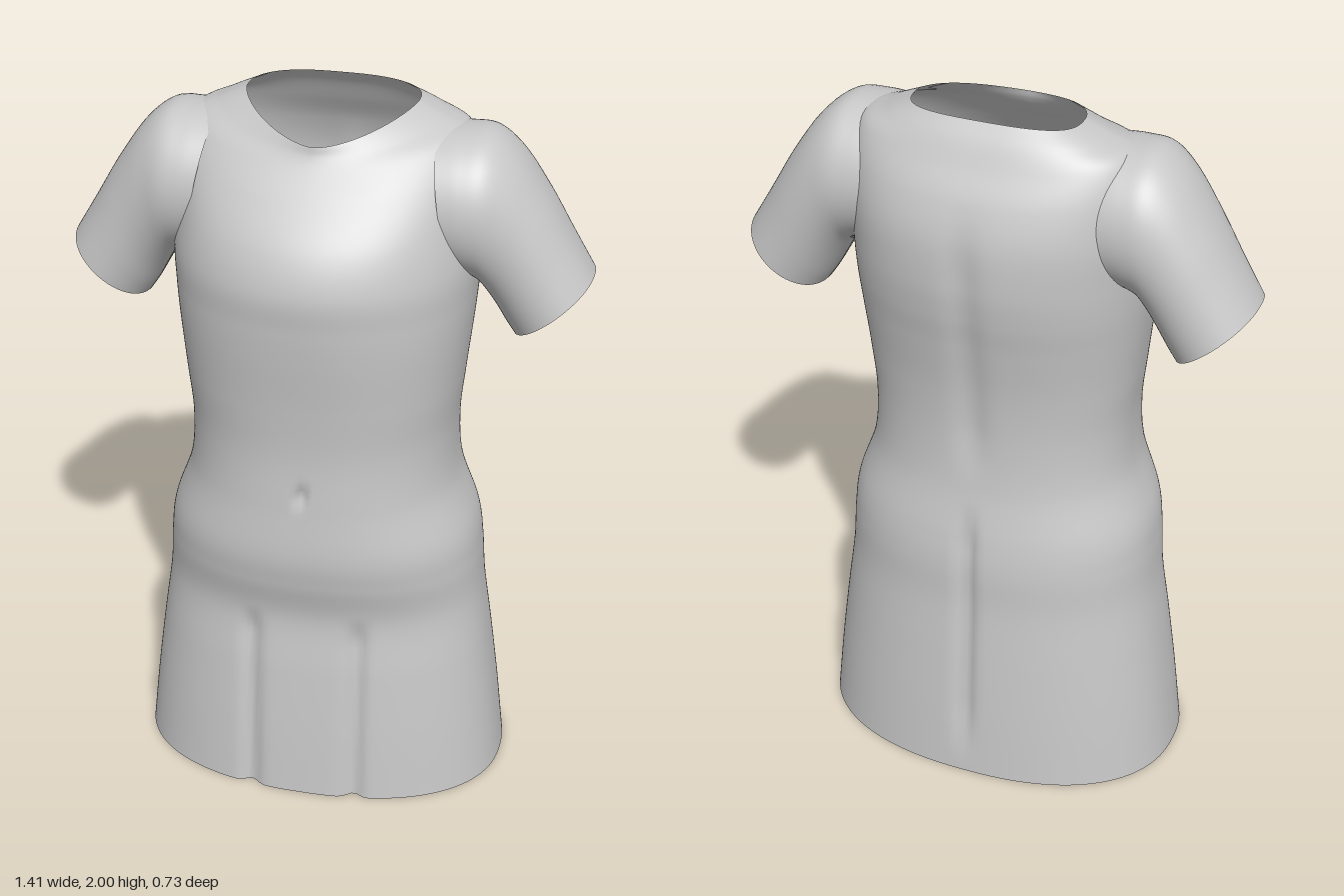
import * as THREE from 'three';

const bell = (v, s) => Math.exp(-(v * v) / (2 * s * s));
const spow = (v, p) => Math.sign(v) * Math.pow(Math.abs(v), p);

// Smooth interpolation through rows of numbers, u running 0..1
function spline(rows) {
  const curve = new THREE.CubicInterpolant(rows.map((_, i) => i), rows.flat(), rows[0].length);
  return (u) => Array.from(curve.evaluate(u * (rows.length - 1)));
}

// Open tube skin: point(u, angle) gives each vertex, skip(centre) cuts holes
function skin(nRows, nCols, point, skip) {
  const pts = [], index = [];
  for (let i = 0; i <= nRows; i++)
    for (let j = 0; j < nCols; j++) pts.push(point(i / nRows, (j / nCols) * Math.PI * 2));
  for (let i = 0; i < nRows; i++)
    for (let j = 0; j < nCols; j++) {
      const a = i * nCols + j, c = i * nCols + (j + 1) % nCols, b = a + nCols, d = c + nCols;
      if (skip && skip(pts[a].clone().add(pts[d]).multiplyScalar(0.5))) continue;
      index.push(a, b, c, c, b, d);
    }
  const g = new THREE.BufferGeometry().setFromPoints(pts);
  g.setIndex(index);
  g.computeVertexNormals();
  return g;
}

// Level rings from hem to chest: y, half width, front z, back z, roundness
const levelRings = [
  [0, 0.525, 0.348, -0.36, 2.3],
  [0.2, 0.503, 0.335, -0.35, 2.3],
  [0.4, 0.477, 0.318, -0.337, 2.3],
  [0.57, 0.453, 0.302, -0.325, 2.3],
  [0.7, 0.443, 0.328, -0.322, 2.3],
  [0.8, 0.428, 0.34, -0.31, 2.3],
  [0.95, 0.377, 0.331, -0.282, 2.3],
  [1.1, 0.366, 0.325, -0.273, 2.3],
  [1.25, 0.379, 0.335, -0.28, 2.3],
  [1.4, 0.395, 0.352, -0.302, 2.2],
  [1.5, 0.404, 0.361, -0.32, 2.1],
  [1.6, 0.409, 0.365, -0.33, 2.0],
].map(([y, w, zf, zb, p]) => [w, y, 0, y, zf, y, zb, p, 2.3]);

// Tilted rings from chest to neckline:
// half width, side y, side z, front y, front z, back y, back z, front and back roundness
const yokeRings = [
  [0.405, 1.72, -0.03, 1.7, 0.33, 1.72, -0.325, 2.0, 2.3],
  [0.4, 1.84, -0.04, 1.8, 0.255, 1.82, -0.295, 1.95, 2.3],
  [0.37, 1.925, -0.05, 1.87, 0.195, 1.9, -0.25, 1.85, 2.4],
  [0.3, 1.96, -0.055, 1.905, 0.172, 1.96, -0.215, 1.7, 2.6],
  [0.228, 1.992, -0.06, 1.93, 0.165, 2.0, -0.18, 1.6, 2.8],
];

const bodyAt = spline([...levelRings, ...yokeRings]);

function bodyPoint(u, t) {
  const [w, ys, zs, yf, zf, yb, zb, pf, pb] = bodyAt(u);
  const c = Math.cos(t), s = Math.sin(t), front = s >= 0;
  const p = front ? pf : pb;
  const x = w * spow(c, 2 / p);
  const k = Math.pow(Math.abs(s), 2 / p);
  const y = ys + ((front ? yf : yb) - ys) * s * s;
  let z = zs + ((front ? zf : zb) - zs) * k;
  if (front) {
    // Skirt folds over the thighs, and the navel
    const fold = 1 - THREE.MathUtils.smoothstep(y, 0.5, 0.6);
    z -= 0.022 * fold * bell(Math.abs(x) - 0.15, 0.017) * (1 - y * 0.3);
    z -= 0.02 * bell(x, 0.008) * bell(y - 0.99, 0.02);
  } else {
    // Spine hollow, and the deeper seam below the waist
    const spine = THREE.MathUtils.smoothstep(y, 0.95, 1.15) * (1 - THREE.MathUtils.smoothstep(y, 1.6, 1.85));
    const seam = THREE.MathUtils.smoothstep(y, 0.02, 0.25) * (1 - THREE.MathUtils.smoothstep(y, 0.75, 0.92));
    z += 0.014 * spine * bell(x, 0.03) + 0.024 * seam * bell(x, 0.015);
  }
  return new THREE.Vector3(x, y, z);
}

// The armholes open the body into the sleeves
const inArmhole = (p) =>
  Math.abs(p.x) > 0.3 && Math.hypot((p.y - 1.74) / 0.165, (p.z + 0.035) / 0.155) < 1;

// Sleeve rings: top x, top y, underside x, underside y, front z, back z
const sleeveAt = spline([
  [0.29, 1.94, 0.36, 1.56, 0.165, -0.225],
  [0.36, 1.944, 0.39, 1.55, 0.165, -0.228],
  [0.43, 1.938, 0.412, 1.535, 0.158, -0.228],
  [0.5, 1.882, 0.435, 1.5, 0.14, -0.222],
  [0.575, 1.775, 0.456, 1.463, 0.124, -0.216],
  [0.645, 1.655, 0.48, 1.42, 0.115, -0.211],
  [0.706, 1.552, 0.502, 1.386, 0.11, -0.208],
]);

function sleevePoint(side) {
  return (u, t) => {
    const [tx, ty, bx, by, zf, zb] = sleeveAt(u);
    const k = (1 + Math.cos(t)) / 2;
    const z = (zf + zb) / 2 - side * ((zf - zb) / 2) * spow(Math.sin(t), 0.9);
    return new THREE.Vector3(side * (bx + (tx - bx) * k), by + (ty - by) * k, z);
  };
}

export function createModel() {
  const cloth = new THREE.MeshStandardMaterial({ color: 0xc8c8c8, side: THREE.DoubleSide });
  cloth.name = 'light grey cloth';
  const model = new THREE.Group();
  model.name = 'tunic';
  const add = (name, geometry) => {
    const mesh = new THREE.Mesh(geometry, cloth);
    mesh.name = name;
    model.add(mesh);
  };
  add('tunicBody', skin(160, 192, bodyPoint, inArmhole));
  add('leftSleeve', skin(36, 64, sleevePoint(1)));
  add('rightSleeve', skin(36, 64, sleevePoint(-1)));
  return model;
}
